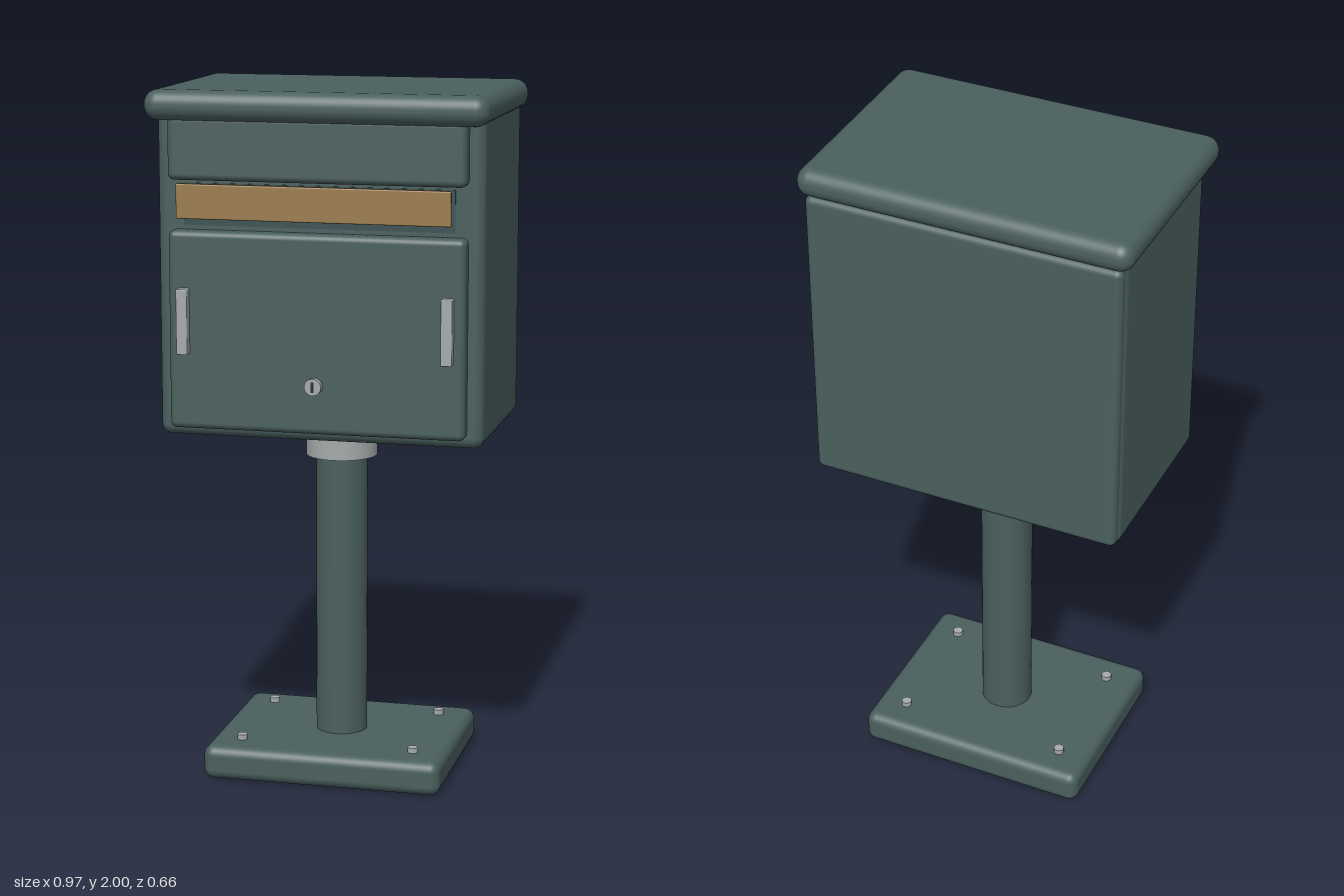
import * as THREE from 'three';
import { RoundedBoxGeometry } from 'three/addons/geometries/RoundedBoxGeometry.js';

const mat = (name, color) => {
  const m = new THREE.MeshStandardMaterial({ color });
  m.name = name;
  return m;
};

export function createModel() {
  const green = mat('dark green paint', 0x4a605e);
  const shade = mat('slot green', 0x3a5052);
  const steel = mat('brushed steel', 0xa5aaab);
  const brass = mat('bronze flap', 0x9c7c4e);
  const dark = mat('keyhole black', 0x2a2e30);

  const model = new THREE.Group();
  model.name = 'mailbox';

  const add = (name, geometry, material, x, y, z) => {
    const mesh = new THREE.Mesh(geometry, material);
    mesh.name = name;
    mesh.position.set(x, y, z);
    model.add(mesh);
    return mesh;
  };
  // Box given by its limits, rounded when r > 0
  const box = (name, material, [x0, x1], [y0, y1], [z0, z1], r = 0) => {
    const size = [x1 - x0, y1 - y0, z1 - z0];
    const geometry = r ? new RoundedBoxGeometry(...size, 5, r) : new THREE.BoxGeometry(...size);
    return add(name, geometry, material, (x0 + x1) / 2, (y0 + y1) / 2, (z0 + z1) / 2);
  };
  const cylinder = (name, material, r, y0, y1, x, z, sides = 40) =>
    add(name, new THREE.CylinderGeometry(r, r, y1 - y0, sides), material, x, (y0 + y1) / 2, z);

  // Stand
  const postZ = -0.02;
  box('basePlate', green, [-0.35, 0.35], [0, 0.1], [-0.3, 0.26], 0.03);
  cylinder('post', green, 0.075, 0.08, 1.0, 0, postZ);
  cylinder('collar', steel, 0.103, 0.93, 1.04, 0, postZ);
  for (const x of [-0.255, 0.255])
    for (const z of [-0.203, 0.163]) cylinder('bolt', steel, 0.015, 0.09, 0.115, x, z, 16);

  // Cabinet with back plate and lid
  box('body', green, [-0.465, 0.465], [1.02, 1.95], [-0.305, 0.255], 0.03);
  box('backPlate', green, [-0.46, 0.46], [1.025, 1.92], [-0.32, -0.27], 0.02);
  box('lid', green, [-0.485, 0.485], [1.915, 2], [-0.33, 0.33], 0.04);

  // Front panels and mail slot
  box('upperPanel', green, [-0.422, 0.422], [1.75, 1.93], [0.24, 0.3], 0.018);
  box('door', green, [-0.422, 0.422], [1.05, 1.61], [0.24, 0.3], 0.018);
  box('slotRecess', shade, [-0.385, 0.385], [1.622, 1.74], [0.252, 0.258]);
  box('slotFlap', brass, [-0.387, 0.387], [1.648, 1.745], [0.313, 0.332], 0.004);

  // Handles and lock
  for (const s of [-1, 1]) {
    const handle = box('handle', steel, [-0.016, 0.016], [1.265, 1.45], [0.298, 0.328], 0.003);
    handle.position.x = s * 0.376;
  }
  const lock = add('lock', new THREE.CylinderGeometry(0.024, 0.024, 0.02, 28), steel, 0, 1.19, 0.317);
  lock.rotation.x = Math.PI / 2;
  box('keyhole', dark, [-0.004, 0.004], [1.175, 1.205], [0.325, 0.329]);

  return model;
}
